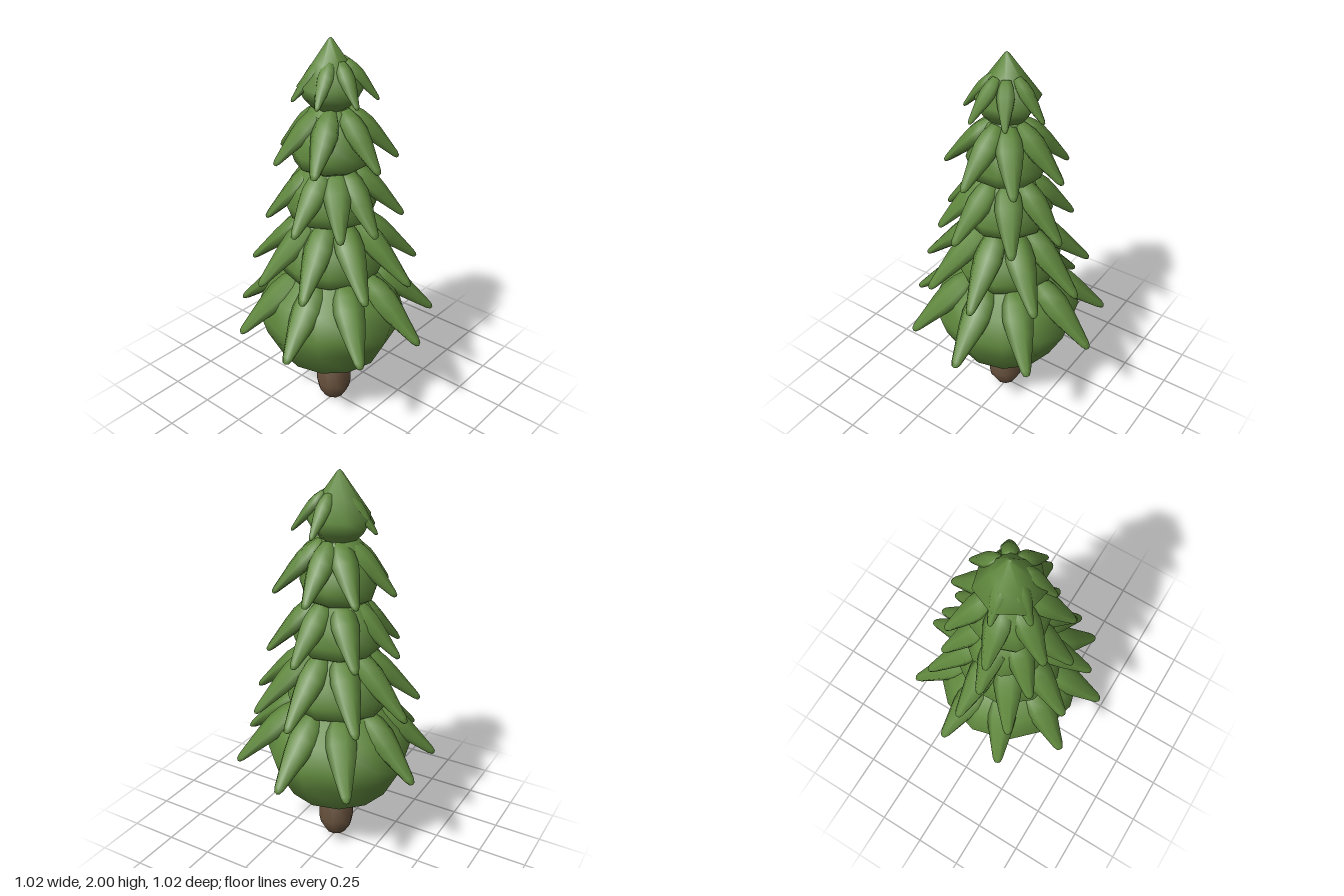
import * as THREE from 'three';

const leaf = new THREE.MeshStandardMaterial({ color: 0x5f873d });
leaf.name = 'leafGreen';
const bark = new THREE.MeshStandardMaterial({ color: 0x66503c });
bark.name = 'barkBrown';

const lathe = (pts, sides) =>
  new THREE.LatheGeometry(pts.map(([r, y]) => new THREE.Vector2(r, y)), sides);

// Unit bodies (radius 1, height 1): round skirt, bulging middle tier, pointed crown
const skirt = [[0, 0], [0.26, 0.01], [0.71, 0.13], [0.92, 0.35], [1, 0.5], [0.87, 0.67], [0.53, 0.86], [0, 1]];
const middle = [[0, 0], [0.57, 0.05], [0.89, 0.14], [1, 0.31], [0.86, 0.53], [0.52, 0.82], [0, 1]];
const crown = [[0, 0], [0.47, 0.04], [0.78, 0.19], [1, 0.38], [0.53, 0.68], [0.08, 0.97], [0, 1]];

// Bough: start and tip as [radius, height]; angles in degrees from +x towards +z
const tiers = [
  {
    profile: skirt, radius: 0.38, bottom: 0.255, top: 0.95, sides: 12,
    from: [0.19, 0.83], to: [0.516, 0.55], width: 0.08,
    angles: [3, 45, 86, 126, 167, 207, 246, 283, 324],
  },
  {
    profile: middle, radius: 0.275, bottom: 0.77, top: 1.22, sides: 10,
    from: [0.11, 1.13], to: [0.428, 0.84], width: 0.075,
    angles: [3, 38, 81, 120, 161, 199, 240, 277, 317],
  },
  {
    profile: middle, radius: 0.225, bottom: 1.08, top: 1.48, sides: 9,
    from: [0.085, 1.385], to: [0.337, 1.13], width: 0.07,
    angles: [7, 52, 105, 135, 175, 222, 265, 314],
  },
  {
    profile: middle, radius: 0.195, bottom: 1.35, top: 1.74, sides: 9,
    from: [0.065, 1.67], to: [0.302, 1.43], width: 0.066,
    angles: [358, 50, 98, 158, 208, 260, 312],
  },
  {
    profile: crown, radius: 0.16, bottom: 1.655, top: 2, sides: 7,
    from: [0.055, 1.895], to: [0.205, 1.72], width: 0.042,
    angles: [3, 58, 110, 163, 213, 263],
  },
];

// Unit bough: widest above the middle, then a straight taper to a blunt tip
const boughGeometry = lathe(
  [[0, -0.02], [0.55, 0], [0.9, 0.17], [1, 0.34], [0.85, 0.52], [0.34, 0.93], [0.2, 0.985], [0, 1]], 7);

function makeBough({ from, to, width }, degrees) {
  const dx = to[0] - from[0], dy = to[1] - from[1];
  const mesh = new THREE.Mesh(boughGeometry, leaf);
  mesh.name = 'bough';
  mesh.position.set(from[0], from[1], 0);
  mesh.rotation.z = Math.atan2(dy, dx) - Math.PI / 2;
  mesh.scale.set(width * 0.72, Math.hypot(dx, dy), width);
  const pivot = new THREE.Group();
  pivot.name = 'boughPivot';
  pivot.rotation.y = -THREE.MathUtils.degToRad(degrees);
  pivot.add(mesh);
  return pivot;
}

export function createModel() {
  const tree = new THREE.Group();
  tree.name = 'tree';

  // Trunk with a rounded foot
  const trunk = new THREE.Mesh(
    lathe([[0, 0.005], [0.055, 0.025], [0.085, 0.075], [0.093, 0.12], [0.089, 0.3], [0, 0.34]], 10), bark);
  trunk.name = 'trunk';
  trunk.position.x = -0.01;
  tree.add(trunk);

  // Stacked foliage tiers, each ringed by drooping boughs
  tiers.forEach((tier, i) => {
    const group = new THREE.Group();
    group.name = `foliageTier${i + 1}`;
    const body = new THREE.Mesh(lathe(tier.profile, tier.sides), leaf);
    body.name = 'foliageBody';
    body.position.set(-0.01, tier.bottom, -0.015);
    body.scale.set(tier.radius, tier.top - tier.bottom, tier.radius);
    body.rotation.y = i * 0.35;
    group.add(body, ...tier.angles.map((a) => makeBough(tier, a)));
    tree.add(group);
  });

  return tree;
}
